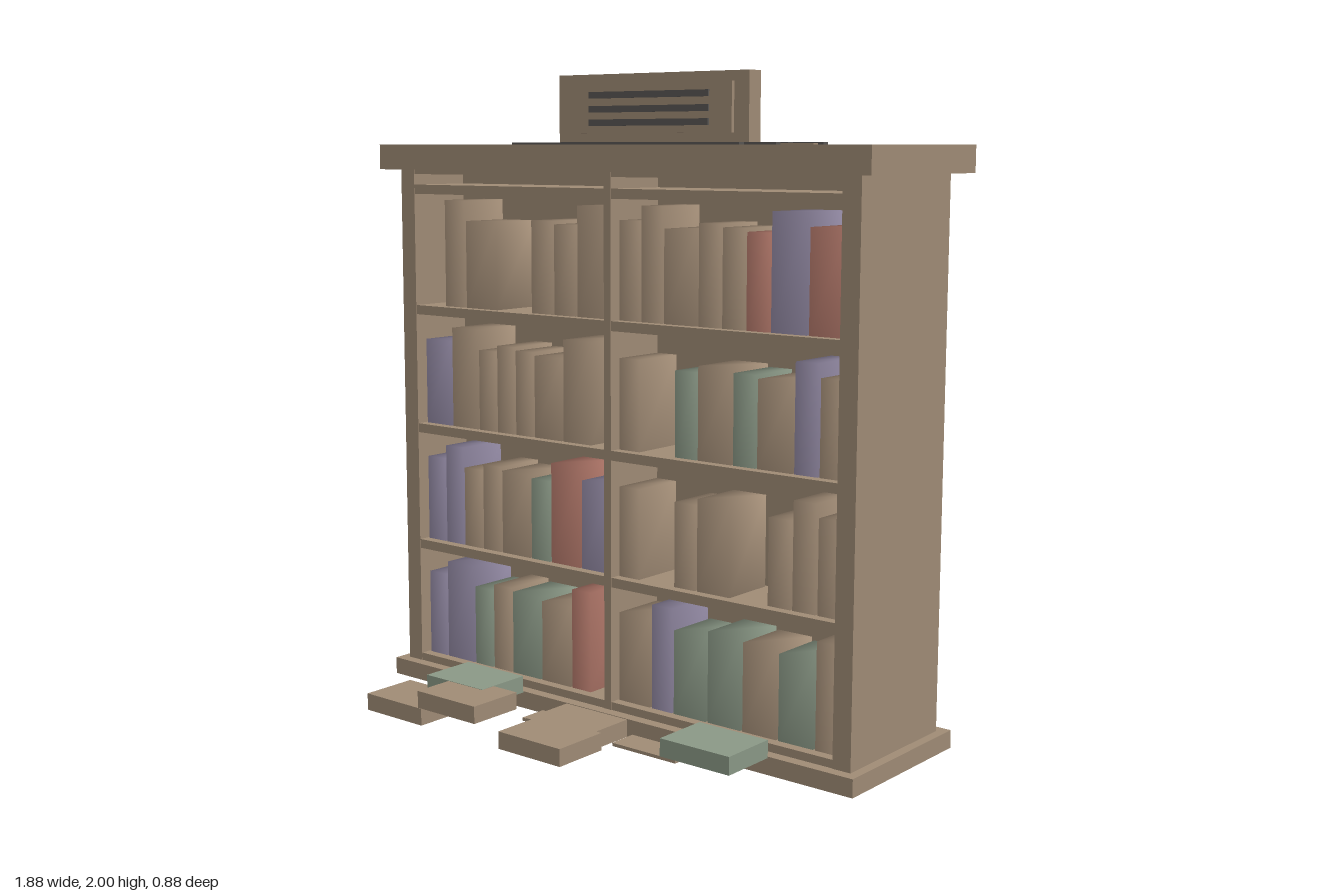
import * as THREE from 'three';
import { mergeVertices } from 'three/addons/utils/BufferGeometryUtils.js';

const material = (name, color) => {
  const m = new THREE.MeshStandardMaterial({ color });
  m.name = name;
  return m;
};

// Box with its corner normals smoothed together
function softBox(w, h, d) {
  const box = new THREE.BoxGeometry(w, h, d);
  box.deleteAttribute('normal');
  box.deleteAttribute('uv');
  const geo = mergeVertices(box);
  geo.computeVertexNormals();
  return geo;
}

export function createModel() {
  const wood = material('wood', 0x9f8b75);
  const dark = material('darkInlay', 0x585553);
  const covers = {
    t: material('tanCover', 0xa8927b),
    p: material('purpleCover', 0x9289a3),
    g: material('greenCover', 0x8a9886),
    r: material('redCover', 0xb57a6c),
  };
  const model = new THREE.Group();
  model.name = 'doubleSidedBookcase';

  // Adds a geometry of height h standing on level y
  function place(name, mat, geo, x, y, z) {
    const mesh = new THREE.Mesh(geo, mat);
    mesh.name = name;
    mesh.position.set(x, y + geo.parameters.height / 2, z);
    model.add(mesh);
  }
  const board = (name, mat, w, h, d, x, y, z) =>
    place(name, mat, new THREE.BoxGeometry(w, h, d), x, y, z);

  // Carcass: base, cap, sides, middle panel, divider and shelves
  const MID = -0.165, DEPTH = 0.47, TOP = 1.785;
  const shelfTop = (i) => 0.08 + 0.394 * i;
  board('base', wood, 1.83, 0.055, 0.54, 0, 0, MID);
  board('cap', wood, 1.88, 0.08, 0.555, 0, 1.705, MID);
  board('middlePanel', wood, 1.65, 1.65, 0.02, 0, 0.055, MID);
  board('divider', wood, 0.027, 1.65, DEPTH, 0, 0.055, MID);
  for (const side of [-1, 1]) board('side', wood, 0.06, 1.65, DEPTH, side * 0.855, 0.055, MID);
  for (let i = 0; i < 5; i++) board('shelf', wood, 1.65, 0.03, DEPTH - 0.004, 0, shelfTop(i) - 0.03, MID);
  board('topRail', wood, 1.65, 0.015, DEPTH - 0.004, 0, 1.69, MID);

  // Books: letters give the cover, capitals are wide, dot and underscore are gaps.
  // Each word fills one bay, seen from that face; the lowest shelf comes first.
  const frontRows = ['pPgtGTr. TpGGTGt', 'ppttTgRP t_tT_ttt', 'PTtttTT. t_gTgTpt', '.tT_ttT ttTttrPR'];
  const backRows = ['.ttPGrpr .t_RTpg', 'Rgtttppr .tttttPT', '.rgrTTP rt.ptGTG', '.tTTTptg __gttttg'];
  const heights = [0.28, 0.325, 0.26, 0.28, 0.27, 0.26, 0.32];
  const weight = (c) => (c === '_' || c < 'a' && c >= 'A' ? 1.5 : 1);

  function fillShelves(rows, face) {
    rows.forEach((row, i) => row.split(' ').forEach((bay, b) => {
      const letters = [...bay];
      const unit = 0.81 / letters.reduce((sum, c) => sum + weight(c), 0);
      let u = b ? 0.015 : -0.82;
      letters.forEach((c, k) => {
        const w = unit * weight(c);
        const cover = covers[c.toLowerCase()];
        if (cover) {
          const h = heights[k % heights.length] + (i === 3 ? 0.02 : 0);
          place('book', cover, softBox2(w - 0.008, h), face * (u + w / 2), shelfTop(i), MID + face * 0.11);
        }
        u += w;
      });
    }));
  }
  function softBox2(w, h) {
    const geo = softBox(w, h, 0.18);
    geo.parameters = { height: h };
    return geo;
  }
  fillShelves(frontRows, 1);
  fillShelves(backRows, -1);

  // Sign board with raised panel and dark bars on both faces
  board('signBoard', wood, 0.738, 0.215, 0.057, 0, TOP, -0.1615);
  board('signPanel', wood, 0.63, 0.15, 0.012, 0, 1.82, -0.127);
  for (const y of [1.842, 1.883, 1.926]) {
    for (const z of [-0.118, -0.193]) board('signBar', dark, 0.465, 0.02, 0.007, 0, y, z);
  }

  // Inlaid strips on the cap
  board('centreStrip', wood, 1.16, 0.004, 0.024, 0, TOP, MID);
  for (const shift of [-0.163, 0.08]) {
    board('longStrip', dark, 1.02, 0.007, 0.024, 0, TOP, -0.16 + shift);
    board('shortStrip', dark, 0.88, 0.007, 0.024, 0, TOP, -0.08 + shift);
  }

  // Books and flat sheets lying around the base
  const floorBook = (mat, x, y, z) => board('floorBook', mat, 0.245, 0.054, 0.186, x, y, z);
  for (const x of [-0.436, 0.515]) floorBook(covers.g, x, 0.056, 0.21);
  floorBook(wood, -0.57, 0, 0.344);
  floorBook(wood, -0.339, 0.055, 0.344);
  floorBook(wood, 0.006, 0, 0.344);
  floorBook(wood, -0.014, 0, 0.2);
  for (const x of [-0.12, 0.248]) board('sheet', wood, 0.24, 0.01, 0.1, x, 0, 0.15);

  return model;
}
